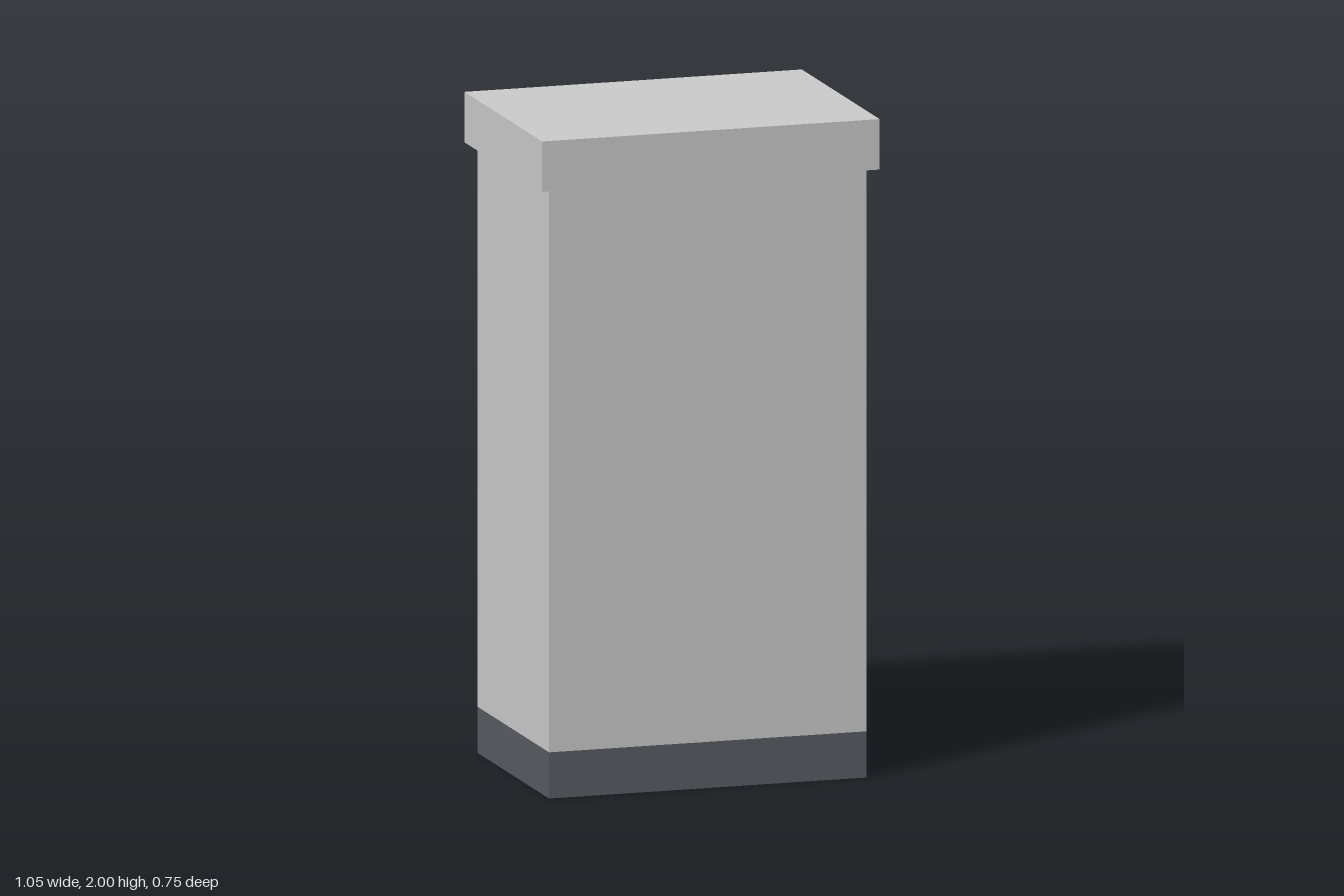
import * as THREE from 'three';

const HALF_W = 0.495, HALF_D = 0.347; // cabinet footprint
const BASE_TOP = 0.14, LID_BOTTOM = 1.847, TOP = 2;
const WALL = 0.052, RECESS = 0.025;

const grey = new THREE.MeshStandardMaterial({ color: 0xcccccc });
const dark = new THREE.MeshStandardMaterial({ color: 0x585c63 });
const pane = new THREE.MeshStandardMaterial({ color: 0xc0cbcf });

// Box given by its min and max on each axis
function box(name, material, [x0, x1], [y0, y1], [z0, z1]) {
  const mesh = new THREE.Mesh(new THREE.BoxGeometry(x1 - x0, y1 - y0, z1 - z0), material);
  mesh.name = name;
  mesh.position.set((x0 + x1) / 2, (y0 + y1) / 2, (z0 + z1) / 2);
  return mesh;
}

export function createModel() {
  const model = new THREE.Group();
  model.name = 'cabinet';
  const bodyY = [BASE_TOP, LID_BOTTOM];
  const inner = HALF_W - WALL;

  // Dark plinth and overhanging lid
  model.add(box('plinth', dark, [-HALF_W, HALF_W], [0, BASE_TOP], [-HALF_D, HALF_D]));
  model.add(box('lid', grey, [-0.526, 0.526], [LID_BOTTOM, TOP], [-0.376, 0.376]));

  // Carcass: one U-shaped plan, open towards the back, extruded upwards
  const plan = new THREE.Shape([
    [-HALF_W, -HALF_D], [HALF_W, -HALF_D], [HALF_W, HALF_D], [inner, HALF_D],
    [inner, -HALF_D + WALL], [-inner, -HALF_D + WALL], [-inner, HALF_D], [-HALF_W, HALF_D],
  ].map(([x, y]) => new THREE.Vector2(x, y)));
  const carcass = new THREE.Mesh(
    new THREE.ExtrudeGeometry(plan, { depth: LID_BOTTOM - BASE_TOP, bevelEnabled: false }), grey);
  carcass.name = 'carcass';
  carcass.rotation.x = -Math.PI / 2;
  carcass.position.y = BASE_TOP;
  model.add(carcass);

  // Recessed door with a long bar handle, on the back
  const doorZ = -HALF_D + RECESS;
  model.add(box('door', pane, [-inner, inner], bodyY, [doorZ, doorZ + 0.03]));
  model.add(box('doorHandle', dark, [-0.382, -0.326], [0.352, 1.632], [-0.352, doorZ]));

  return model;
}
